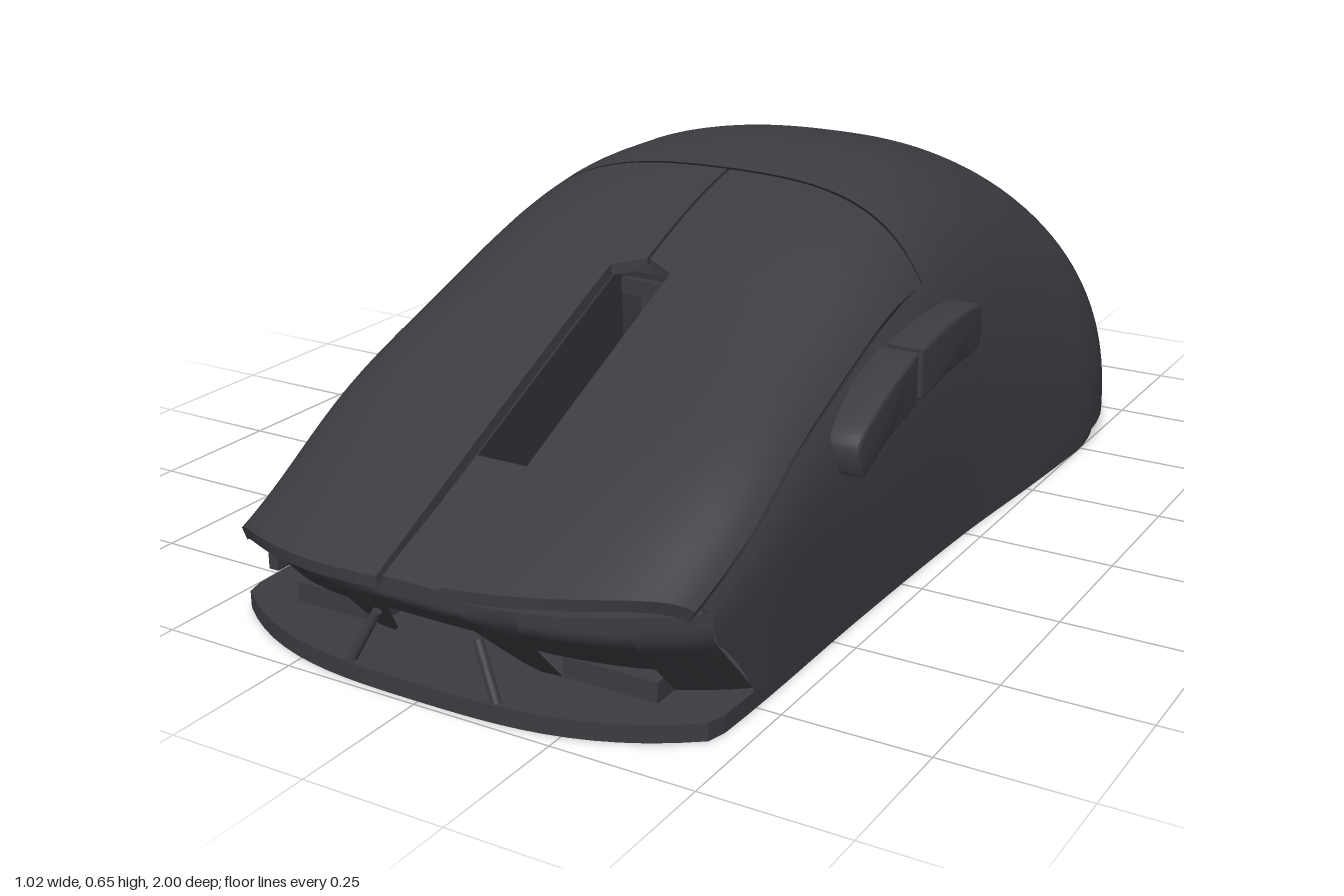
import * as THREE from 'three';
import { toCreasedNormals } from 'three/addons/utils/BufferGeometryUtils.js';

const shellMat = new THREE.MeshStandardMaterial({ color: 0x3c3b41, side: THREE.DoubleSide });
shellMat.name = 'charcoal plastic';
const innerMat = new THREE.MeshStandardMaterial({ color: 0x343338, side: THREE.DoubleSide });
innerMat.name = 'dark inner plastic';

const { lerp, smoothstep } = THREE.MathUtils;
const curve = (t, v) => {
  const c = new THREE.CubicInterpolant(new Float32Array(t), new Float32Array(v), 1, new Float32Array(1));
  return x => c.evaluate(x)[0];
};
const steps = n => Array.from({ length: n + 1 }, (_, i) => i / n);

// Body profiles along the length t (-1 rear, 1 front)
const frontW = curve([-0.5, -0.3, 0, 0.4, 0.8, 1], [0.51, 0.499, 0.478, 0.467, 0.464, 0.452]);
const frontH = curve([-0.15, 0, 0.1, 0.2, 0.4, 0.6, 0.8, 1], [0.655, 0.642, 0.618, 0.584, 0.496, 0.401, 0.303, 0.203]);
const power = curve([-1, -0.3, 0.1, 0.5, 1], [2.2, 2.75, 3.9, 4.8, 8]);
const W = t => t > -0.5 ? frontW(t) : 0.51 * Math.sqrt(Math.max(0, 1 - Math.pow((-0.5 - t) / 0.5, 2.05)));
const H = t => t > -0.15 ? frontH(t)
  : 0.03 + 0.625 * Math.pow(Math.max(0, 1 - Math.pow((-0.15 - t) / 0.85, 1.8)), 0.57);
const bow = x => 0.13 * Math.pow(Math.abs(x) / 0.46, 3);
// Set-back of the front face towards the base
const rake = y => 0.9 * Math.max(0, 0.16 - y);

// Point on the body: a is the angle round the section, 0 at the top
function bodyPoint(a, t, drop = 0) {
  const n = power(t), s = Math.sin(a), c = Math.max(0, Math.cos(a));
  const r = Math.pow(Math.pow(Math.abs(s), n) + Math.pow(c, n), -1 / n);
  const x = W(t) * r * s, front = smoothstep(t, 0.3, 1);
  const y = 0.03 + (H(t) - 0.03) * r * c + front * r * c * (0.08 * x + 0.02 * Math.abs(x));
  return [x * (1 - drop * 1.2), y - drop, t - smoothstep(t, 0.5, 1) * bow(x)];
}
// Section angle at a fraction (0 to 1) of the half width
const angleAt = (fraction, t) => {
  const n = power(t), xr = THREE.MathUtils.clamp(fraction, 0, 1);
  return Math.atan2(xr, Math.pow(1 - Math.pow(xr, n), 1 / n));
};

// Surface through a grid of points
function loft(us, vs, fn) {
  const pos = [], idx = [], m = us.length;
  vs.forEach(v => us.forEach(u => pos.push(...fn(u, v))));
  for (let j = 0; j < vs.length - 1; j++)
    for (let i = 0; i < m - 1; i++) {
      const a = j * m + i, b = a + 1, c = a + m, d = c + 1;
      idx.push(a, c, b, b, c, d);
    }
  const g = new THREE.BufferGeometry();
  g.setAttribute('position', new THREE.Float32BufferAttribute(pos, 3));
  g.setIndex(idx);
  g.computeVertexNormals();
  return g;
}

// Profile of [z, y] points extruded along x
function extrudeX(points, x0, x1, bevel = 0) {
  const shape = new THREE.Shape(points.map(([z, y]) => new THREE.Vector2(-z, y)));
  return new THREE.ExtrudeGeometry(shape, {
    depth: x1 - x0 - 2 * bevel, bevelEnabled: bevel > 0, bevelSize: bevel,
    bevelThickness: bevel, bevelOffset: -bevel, bevelSegments: 3
  }).rotateY(Math.PI / 2).translate(x0 + bevel, 0, 0);
}

export function createModel() {
  const group = new THREE.Group();
  const add = (name, geo, mat = shellMat) => {
    const m = new THREE.Mesh(geo, mat);
    m.name = name;
    group.add(m);
    return m;
  };
  const box = (name, w, h, d, x, y, z, mat = innerMat) =>
    add(name, new THREE.BoxGeometry(w, h, d).translate(x, y, z), mat);

  // Rear palm shell, ending in a bowed seam
  const seam = xr => 0.04 + 0.06 * Math.min(1, Math.pow(xr / 0.86, 2));
  add('palmShell', loft(steps(72), steps(56), (u, v) => {
    const a = (u - 0.5) * Math.PI;
    const xr = Math.abs(bodyPoint(a, 0.07)[0]) / W(0.07);
    return bodyPoint(a, lerp(-1, seam(xr), 1 - Math.cos(v * Math.PI / 2)));
  }));

  const keyEdge = t => lerp(0.88, 0.968, smoothstep(t, 0.1, 1));
  const keyRows = [...steps(32), 0.285].sort((p, q) => p - q);
  // Point on a key; the inner edge steps out around the wheel slot
  const keyPoint = (s, u, v, drop, gap, end) => {
    const tc = lerp(0.04 + gap, end, v);
    const x0 = tc > 0.318 ? 0.06 : Math.max(0, gap / 2);
    const a0 = angleAt(x0 / W(tc), tc), a1 = angleAt(keyEdge(tc) - gap, tc);
    const a = lerp(a0, a1, u);
    const xr = Math.min(0.86, Math.abs(bodyPoint(a, tc)[0]) / W(tc));
    return bodyPoint(s * a, lerp(seam(xr) + gap, end, v), drop);
  };

  for (const s of [1, -1]) {
    const side = s > 0 ? 'left' : 'right';
    // Click keys as thin slabs: outer skin, inner skin and rim
    const ring = [...steps(24).map(u => [u, 0]), ...steps(24).map(u => [1 - u, 0.02]), [0, 0]];
    add(side + 'Key', toCreasedNormals(loft(ring, keyRows,
      ([u, d], v) => keyPoint(s, u, v, d, 0.006, 1)), 0.6));
    add(side + 'KeyFrontEdge', loft(steps(24), [0, 0.02], (u, d) => keyPoint(s, u, 1, d, 0.006, 1)));
    // Carrier beneath the seams
    add(side + 'KeyCarrier', loft(steps(24), keyRows,
      (u, v) => keyPoint(s, u, v, 0.022, -0.012, 0.97)), innerMat);
    // Side wall with a raked front end
    add(side + 'Wall', loft(steps(20), steps(36), (u, v) => {
      const at = t => lerp(angleAt(keyEdge(t), t), Math.PI / 2, u);
      const t = lerp(0.095, 0.985 - rake(bodyPoint(s * at(0.97), 0.97)[1]), v);
      return bodyPoint(s * at(t), t);
    }));
    // Wheel slot cheeks
    add(side + 'SlotCheek', extrudeX([[0.31, 0.18], [0.31, 0.51], [0.97, 0.19], [0.97, 0.17]],
      s * 0.066 - 0.004, s * 0.066 + 0.004), innerMat);
    // Nose frame posts and inner blocks
    const strut = add(side + 'NoseFramePost', new THREE.CylinderGeometry(0.008, 0.008, 0.1, 10));
    strut.position.set(s * 0.118, 0.072, 0.968);
    strut.rotation.set(-0.2, 0, s * 0.45);
    box(side + 'FrontBlock', 0.17, 0.035, 0.06, s * 0.265, 0.047, 0.83, shellMat);
  }

  // Front lip with three openings, following the nose
  const openingTop = x => {
    const d = Math.abs(x);
    if (d < 0.13) return Math.min(0.122, 0.034 + (0.13 - d) * 1.9);
    return d > 0.18 && d < 0.35 ? 0.105 - (d - 0.18) * 0.1 : 0.03;
  };
  const lipX = [...steps(44).map(u => lerp(-0.45, 0.45, u)),
    ...[0.179, 0.181, 0.349, 0.351].flatMap(x => [-x, x])].sort((p, q) => p - q);
  add('frontLip', loft(lipX, steps(8), (x, v) => {
    const y = lerp(0.178 + 0.06 * x, openingTop(x), v);
    return [x, y, 0.985 - bow(x) - rake(y)];
  }));

  // Centre strip, slot floor and wheel support
  add('centreStrip', extrudeX([[0.74, 0.305], [0.985, 0.195], [0.985, 0.17], [0.74, 0.17]], -0.062, 0.062));
  add('slotFloor', extrudeX([[0.45, 0.2], [0.74, 0.2], [0.74, 0.17], [0.45, 0.17]], -0.062, 0.062));
  box('slotBackWall', 0.13, 0.34, 0.01, 0, 0.35, 0.3);
  box('wheelPost', 0.035, 0.18, 0.012, 0, 0.37, 0.312, shellMat);
  box('wheelCrossbar', 0.12, 0.025, 0.012, 0, 0.335, 0.309, shellMat);
  box('slotTopBar', 0.115, 0.03, 0.012, 0, 0.475, 0.311, shellMat);
  box('slotTopTab', 0.07, 0.014, 0.014, 0, 0.512, 0.312, shellMat);

  // Side buttons on the left wall
  const button = (name, pts) => {
    const path = new THREE.SplineCurve(pts.map(q => new THREE.Vector2(...q)));
    const outline = path.getPoints(40).slice(0, -1).map(q => [q.x, q.y]);
    add(name, toCreasedNormals(extrudeX(outline, 0.42, 0.494, 0.006), 0.6));
  };
  button('rearSideButton', [[0.262, 0.355], [0.262, 0.425], [0.25, 0.436], [0.15, 0.45], [0.04, 0.452],
    [0.02, 0.435], [0.02, 0.385], [0.04, 0.367], [0.15, 0.36], [0.25, 0.345], [0.262, 0.355]]);
  button('frontSideButton', [[0.276, 0.35], [0.276, 0.42], [0.285, 0.432], [0.38, 0.402], [0.47, 0.36],
    [0.49, 0.335], [0.485, 0.295], [0.465, 0.285], [0.38, 0.318], [0.285, 0.341], [0.276, 0.35]]);

  // Base plate with a round sensor opening
  const sidePts = steps(48).map(u => {
    const t = lerp(-1, 0.84, 1 - Math.cos(u * Math.PI / 2));
    return [W(t) * 0.982, t < 0 ? t * 0.962 : t];
  });
  const nose = steps(24).map(u => lerp(0.445, -0.445, u)).map(x => [x, 0.99 - bow(x)]);
  const outline = [...sidePts, ...nose, ...sidePts.slice(1).reverse().map(([x, z]) => [-x, z])];
  const base = new THREE.Shape(outline.map(([x, z]) => new THREE.Vector2(x, -z)));
  base.holes.push(new THREE.Path().absarc(0, -0.36, 0.085, 0, Math.PI * 2, true));
  add('basePlate', new THREE.ExtrudeGeometry(base, { depth: 0.03, bevelEnabled: false, curveSegments: 32 })
    .rotateX(-Math.PI / 2));
  // Small clip on the right flank
  box('sideClip', 0.02, 0.03, 0.1, -0.468, 0.045, 0.74, shellMat);

  return group;
}
